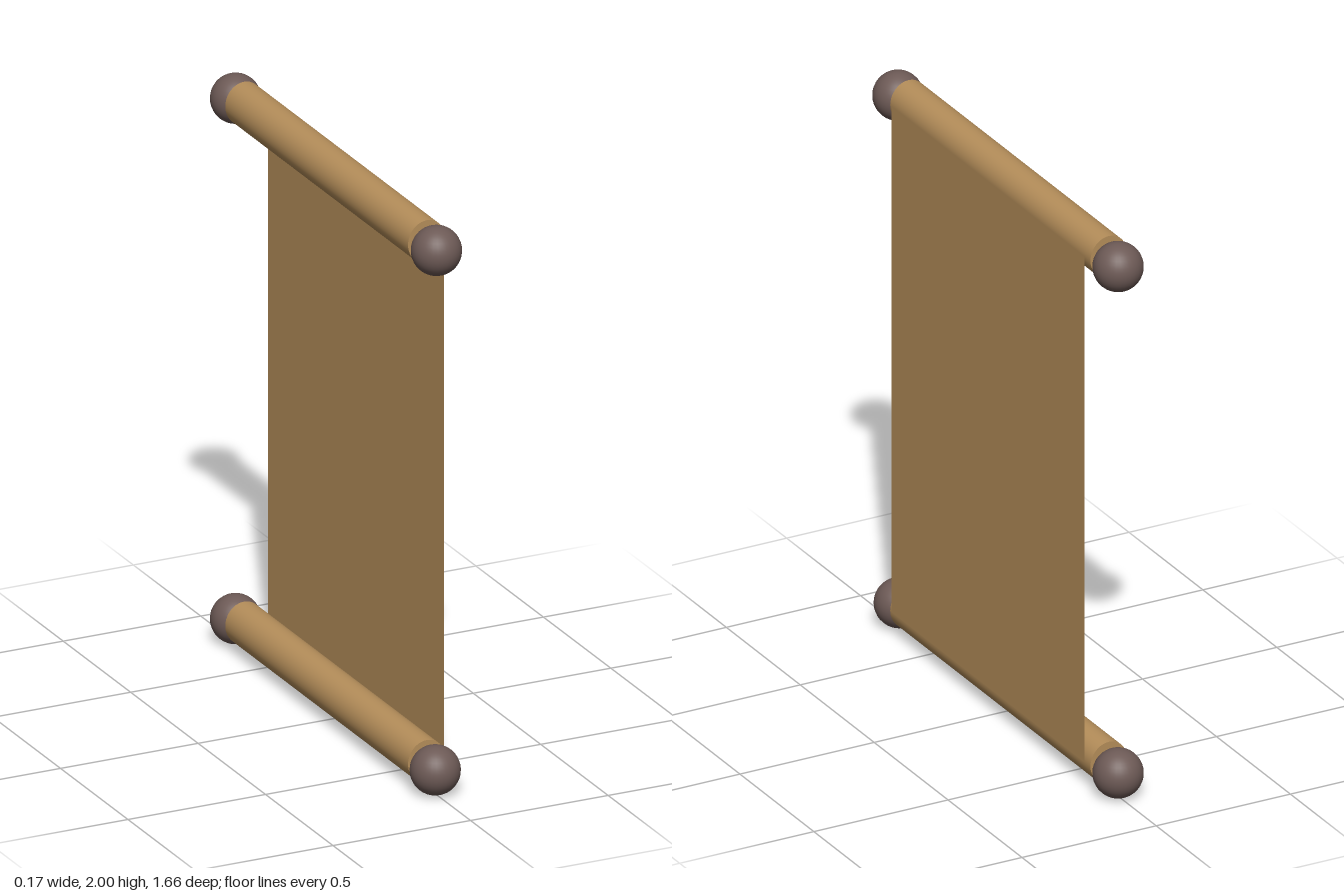
import * as THREE from 'three';

export function createModel() {
  const model = new THREE.Group();
  model.name = 'hangingScroll';

  const parchment = new THREE.MeshStandardMaterial({ color: 0xb58e5a, side: THREE.DoubleSide });
  parchment.name = 'tan parchment';
  const knobBrown = new THREE.MeshStandardMaterial({ color: 0x6d5a56 });
  knobBrown.name = 'dark brown knob';

  const add = (name, geometry, material, x, y, z) => {
    const mesh = new THREE.Mesh(geometry, material);
    mesh.name = name;
    mesh.position.set(x, y, z);
    model.add(mesh);
    return mesh;
  };

  // Rolled ends run along z, slightly taller than wide
  const rollGeometry = new THREE.CylinderGeometry(1, 1, 1.355, 40).rotateX(Math.PI / 2);
  const knobGeometry = new THREE.SphereGeometry(0.084, 32, 20);
  const rods = [
    { name: 'upper', rollY: 1.923, knobY: 1.916, frontZ: 0.747, height: 0.075 },
    { name: 'lower', rollY: 0.097, knobY: 0.087, frontZ: 0.738, height: 0.074 },
  ];
  for (const rod of rods) {
    add(rod.name + 'Roll', rollGeometry, parchment, -0.002, rod.rollY, 0.002)
      .scale.set(0.068, rod.height, 1);
    // Round knobs at both ends of the rod
    add(rod.name + 'FrontKnob', knobGeometry, knobBrown, 0, rod.knobY, rod.frontZ);
    add(rod.name + 'BackKnob', knobGeometry, knobBrown, 0, rod.knobY, -0.742);
  }

  // Flat sheet stretched between the rolls, tangent to their +x side
  const sheetHeight = rods[0].rollY - rods[1].rollY;
  const sheetGeometry = new THREE.PlaneGeometry(1.305, sheetHeight).rotateY(Math.PI / 2);
  add('sheet', sheetGeometry, parchment, 0.067, rods[1].rollY + sheetHeight / 2, 0.015);

  return model;
}
